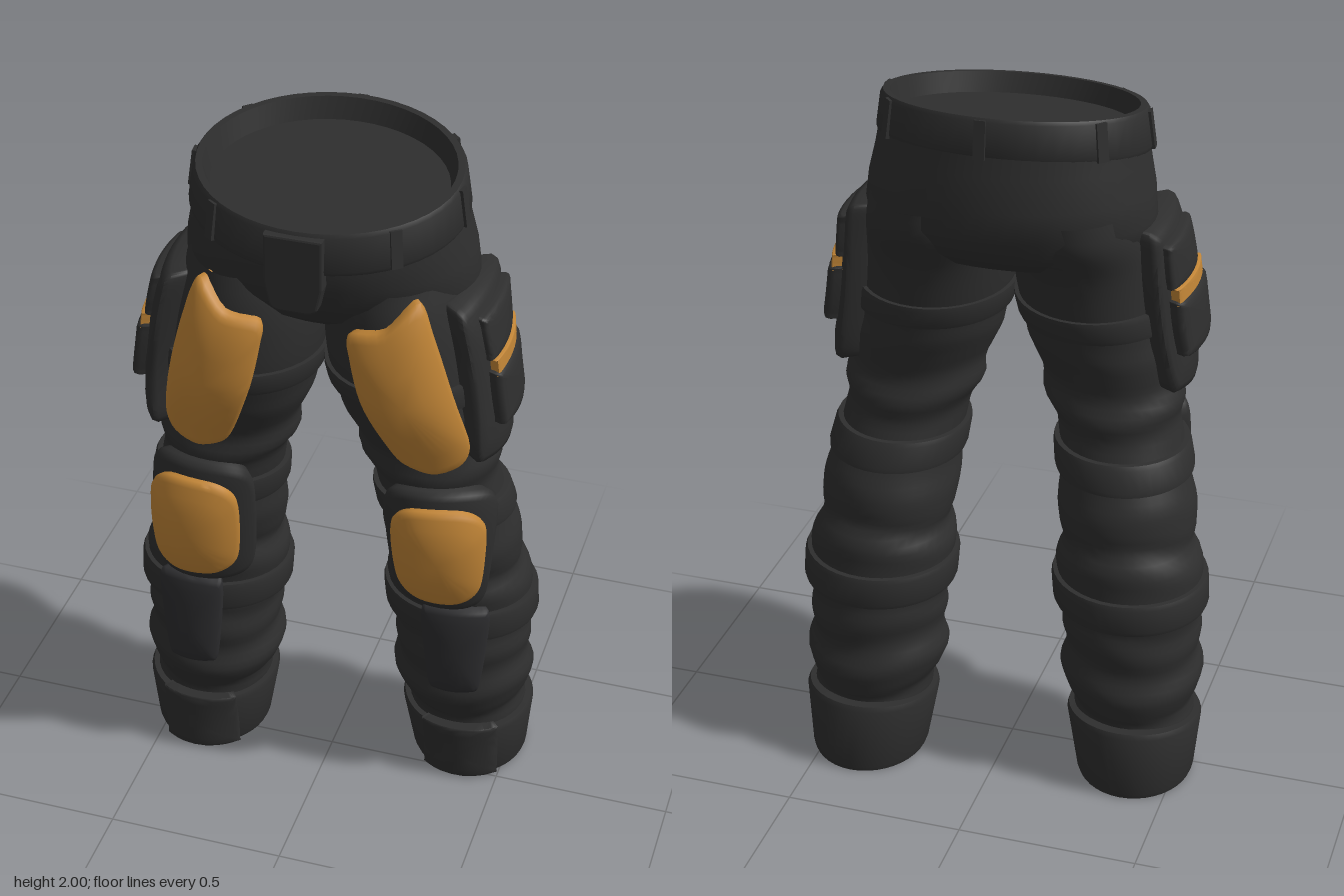
import * as THREE from 'three';
import { toCreasedNormals } from 'three/addons/utils/BufferGeometryUtils.js';

const mat = (name, color) => {
  const m = new THREE.MeshStandardMaterial({ color });
  m.name = name;
  return m;
};

// Leg sections, bottom up: height, inner x, outer x, back z, front z
const SECTIONS = [
  [0.0, 0.235, 0.53, -0.315, 0.012], [0.18, 0.21, 0.54, -0.305, 0.032], [0.3, 0.175, 0.55, -0.305, 0.06],
  [0.45, 0.17, 0.547, -0.297, 0.075], [0.6, 0.15, 0.55, -0.295, 0.085], [0.75, 0.15, 0.525, -0.27, 0.1],
  [0.9, 0.145, 0.498, -0.23, 0.125], [1.05, 0.125, 0.465, -0.178, 0.14], [1.2, 0.075, 0.45, -0.162, 0.165],
  [1.4, 0.016, 0.42, -0.192, 0.238], [1.55, -0.004, 0.4, -0.22, 0.25], [1.65, 0.0, 0.38, -0.268, 0.248],
  [1.72, 0.015, 0.36, -0.275, 0.235],
];
const spline = new THREE.CubicInterpolant(
  SECTIONS.map((s) => s[0]), SECTIONS.flatMap((s) => s.slice(1)), 4);
function section(y) {
  const [a, b, c, d] = spline.evaluate(THREE.MathUtils.clamp(y, 0, 1.72));
  return { cx: (a + b) / 2, rx: (b - a) / 2, cz: (c + d) / 2, rz: (d - c) / 2 };
}

// Cloth folds: height, width, depth
const FOLDS = [[1.3, 0.035, 0.006], [1.2, 0.03, -0.007], [1.13, 0.03, 0.012], [1.07, 0.025, -0.004],
  [0.86, 0.05, 0.01], [0.755, 0.025, -0.012], [0.69, 0.035, 0.008], [0.52, 0.025, -0.006],
  [0.46, 0.03, 0.005], [0.4, 0.03, -0.006], [0.33, 0.035, 0.012], [0.23, 0.025, -0.014]];
const fold = (y) => FOLDS.reduce((s, [c, w, h]) => s + h * Math.exp(-(((y - c) / w) ** 2)), 0);

// Point on the leg: angle 0 is the front, a quarter turn is the outer side
function onLeg(side, angle, y, off) {
  const { cx, rx, cz, rz } = section(y);
  const stride = side < 0 ? 0.1 - 0.046 * y : 0; // the right leg stands a little forward
  return [side * (cx + (rx + off) * Math.sin(angle)), y, cz + stride + (rz + off) * Math.cos(angle)];
}

// Skin closed rings of points
function loft(rings, flip = false, crease = 0.75) {
  const n = rings[0].length, idx = [];
  for (let i = 0; i < rings.length - 1; i++) {
    for (let j = 0; j < n; j++) {
      const a = i * n + j, b = i * n + ((j + 1) % n), c = b + n, d = a + n;
      if (flip) idx.push(a, c, b, a, d, c);
      else idx.push(a, b, c, a, c, d);
    }
  }
  const g = new THREE.BufferGeometry();
  g.setAttribute('position', new THREE.Float32BufferAttribute(rings.flat(2), 3));
  g.setIndex(idx);
  return toCreasedNormals(g, crease);
}
const ring = (n, f) => Array.from({ length: n }, (_, j) => f((j / n) * Math.PI * 2));

// Rounded rectangle outline, counterclockwise
const rounded = (a, b, y0, y1, r, taper = 0) => [
  [a + r + taper, y0], [b - r - taper, y0], [b - taper, y0 + r], [b, y1 - r],
  [b - r, y1], [a + r, y1], [a, y1 - r], [a + taper, y0 + r]];

// Cushion wrapped on the leg; outline in (x, y) at the front or (-z, y) on the outer side
function pad(side, outline, base, height, onSide = false, dome = 0.008) {
  const turn = side < 0 ? -0.023 : 0; // the right leg's pieces are turned inward
  const flatten = onSide ? 0.08 : 0; // side pieces are flatter than the leg
  const curve = new THREE.CatmullRomCurve3(
    outline.map(([a, y]) => new THREE.Vector3(a + turn, y, 0)), true, 'catmullrom', 0.4);
  const pts = curve.getPoints(56).slice(0, 56).map(({ x, y }) => {
    const s = section(y), h = base + height;
    const v = onSide ? (-x - s.cz) / (s.rz + h) : (x - s.cx) / (s.rx + h);
    const k = THREE.MathUtils.clamp(v, -0.97, 0.97);
    return [onSide ? Math.acos(k) : Math.asin(k), y];
  });
  const mid = [0, 1].map((k) => pts.reduce((s, p) => s + p[k], 0) / pts.length);
  const profile = [[1, base - 0.025], [1, base + height * 0.55], [0.96, base + height * 0.88],
    [0.89, base + height], [0.7, base + height + dome * 0.6], [0.4, base + height + dome], [0, base + height + dome]];
  return loft(profile.map(([t, off]) => pts.map(([p, y]) => {
    const a = mid[0] + (p - mid[0]) * t;
    return onLeg(side, a, mid[1] + (y - mid[1]) * t, off + flatten * (1 - Math.sin(a)));
  })), side < 0, 0.9);
}

// Strap around the leg
function strap(side, y0, y1, off) {
  const rows = [[y0, -0.02], [y0, off * 0.8], [y0 + 0.012, off], [y1 - 0.012, off], [y1, off * 0.8], [y1, -0.02]];
  return loft(rows.map(([y, o]) => ring(40, (a) => onLeg(side, a, y + 0.008 * Math.cos(a), o))), side < 0);
}

export function createModel() {
  const cloth = mat('charcoal cloth', 0x2e2e2e);
  const armour = mat('ochre armour', 0xc08436);
  const shinMat = mat('slate padding', 0x2d2d2f);
  const model = new THREE.Group();
  model.name = 'armouredTrousers';
  const add = (parent, name, geometry, material) => {
    const m = new THREE.Mesh(geometry, material);
    m.name = name;
    parent.add(m);
    return m;
  };

  // Hips: height, half width, back z, front z, waist tilt
  const hips = [[1.545, 0.02, -0.05, 0.05, 0], [1.55, 0.2, -0.16, 0.12, 0], [1.565, 0.33, -0.2, 0.16, 0],
    [1.61, 0.38, -0.25, 0.22, 0], [1.68, 0.387, -0.295, 0.27, 0], [1.75, 0.378, -0.3, 0.292, 0.04],
    [1.82, 0.362, -0.287, 0.302, 0.1], [1.89, 0.35, -0.275, 0.305, 0.155]];
  add(model, 'hips', loft(hips.map(([y, rx, zb, zf, tilt]) => ring(48, (a) => {
    const z = (zb + zf) / 2 + ((zf - zb) / 2) * Math.cos(a);
    return [rx * Math.sin(a), y - tilt * z, z];
  }))), cloth);

  // Waistband, rim and inner floor: height, half width, half depth
  const band = [[1.85, 0.34, 0.28], [1.85, 0.358, 0.295], [1.862, 0.363, 0.3], [1.95, 0.35, 0.292],
    [1.96, 0.343, 0.286], [1.96, 0.325, 0.27], [1.905, 0.308, 0.252], [1.905, 0, 0]];
  add(model, 'waistband', loft(band.map(([y, rx, rz]) => ring(48, (a) => {
    const z = 0.02 + rz * Math.cos(a);
    return [rx * Math.sin(a), y - 0.155 * z, z];
  }))), cloth);

  // Belt loops
  for (const deg of [-128, -86, -42, 42, 86, 128, 180]) {
    const a = THREE.MathUtils.degToRad(deg);
    const z = 0.02 + 0.291 * Math.cos(a);
    const loop = add(model, 'beltLoop', new THREE.BoxGeometry(0.03, 0.1, 0.024), cloth);
    loop.position.set(0.351 * Math.sin(a), 1.904 - 0.155 * z, z);
    loop.rotation.order = 'YXZ';
    loop.rotation.set(-0.14, Math.atan2(Math.sin(a) / 0.36, Math.cos(a) / 0.3), 0);
  }

  // Fly flap
  const fly = new THREE.Shape();
  fly.moveTo(-0.07, 0.2);
  fly.lineTo(-0.07, 0.07);
  fly.lineTo(-0.057, 0.012);
  fly.quadraticCurveTo(-0.05, 0, -0.03, 0);
  fly.lineTo(0.03, 0);
  fly.quadraticCurveTo(0.05, 0, 0.057, 0.012);
  fly.lineTo(0.07, 0.07);
  fly.lineTo(0.07, 0.2);
  const flap = add(model, 'flyFlap', new THREE.ExtrudeGeometry(fly, {
    depth: 0.03, bevelThickness: 0.006, bevelSize: 0.006, bevelSegments: 2 }), cloth);
  flap.position.set(0, 1.698, 0.291);

  const thighOutline = [[0.33, 1.165], [0.405, 1.19], [0.425, 1.26], [0.38, 1.47], [0.338, 1.62], [0.3, 1.71],
    [0.22, 1.64], [0.12, 1.615], [0.122, 1.55], [0.15, 1.42], [0.21, 1.26], [0.25, 1.195]];

  for (const side of [1, -1]) {
    const leg = new THREE.Group();
    leg.name = side > 0 ? 'leftLeg' : 'rightLeg';
    model.add(leg);

    // Trouser leg with folds slanting around it
    const rows = [];
    for (let i = 0; i <= 80; i++) {
      const y = 0.05 + (1.67 * i) / 80;
      rows.push(ring(40, (a) => onLeg(side, a, y, fold(y + 0.018 * Math.sin(a * 2 + y * 7)))));
    }
    add(leg, 'trouserLeg', loft(rows, side < 0, 1.2), cloth);

    // Cuff closed at the bottom: height, growth
    const cuff = [[0.016, -0.14], [0.016, -0.012], [0.006, 0.0], [0.006, 0.012], [0.02, 0.016],
      [0.19, 0.022], [0.205, 0.014], [0.205, -0.02]];
    add(leg, 'cuff', loft(cuff.map(([y, o]) => ring(40, (a) =>
      onLeg(side, a, y + 0.012 * (y > 0.1 ? -Math.cos(a) : 0.4 * Math.cos(a)), o))), side < 0), cloth);
    const floor = ring(40, (a) => onLeg(side, a, 0.018, 0));
    const centre = onLeg(side, 0, 0.018, -section(0.018).rz);
    add(leg, 'cuffFloor', loft([ring(40, () => centre), floor], side < 0), cloth);
    add(leg, 'cuffPanel', pad(side, rounded(0.28, 0.5, 0.006, 0.2, 0.015), 0.015, 0.011, false, 0.001), cloth);

    // Straps
    add(leg, 'thighStrap', strap(side, 1.37, 1.435, 0.014), cloth);
    add(leg, 'kneeStrap', strap(side, 0.94, 1.02, 0.018), cloth);
    add(leg, 'calfStrap', strap(side, 0.55, 0.64, 0.018), cloth);

    // Front armour
    add(leg, 'thighPlate', pad(side, thighOutline, 0.005, 0.03, false, 0.013), armour);
    add(leg, 'kneeBacking', pad(side, rounded(0.18, 0.49, 0.69, 1.1, 0.06, 0.015), 0, 0.043), cloth);
    add(leg, 'kneePlate', pad(side, rounded(0.214, 0.476, 0.735, 1.055, 0.06, 0.01), 0.043, 0.03, false, 0.018), armour);
    add(leg, 'shinPad', pad(side, rounded(0.285, 0.482, 0.37, 0.675, 0.03, 0.022), 0.003, 0.03), shinMat);

    // Side pocket with lid above, pouch below and a bright strip between them
    add(leg, 'pocket', pad(side, rounded(-0.17, 0.155, 1.2, 1.67, 0.045, 0.02), 0, 0.045, true), cloth);
    add(leg, 'pocketLid', pad(side, rounded(-0.12, 0.13, 1.505, 1.63, 0.02), 0.045, 0.024, true, 0.003), cloth);
    add(leg, 'pocketPouch', pad(side, rounded(-0.12, 0.13, 1.315, 1.475, 0.02, 0.005), 0.045, 0.04, true, 0.005), cloth);
    add(leg, 'pocketStrip', pad(side, rounded(-0.108, 0.118, 1.466, 1.512, 0.005), 0.072, 0.006, true, 0), armour);
  }
  return model;
}
